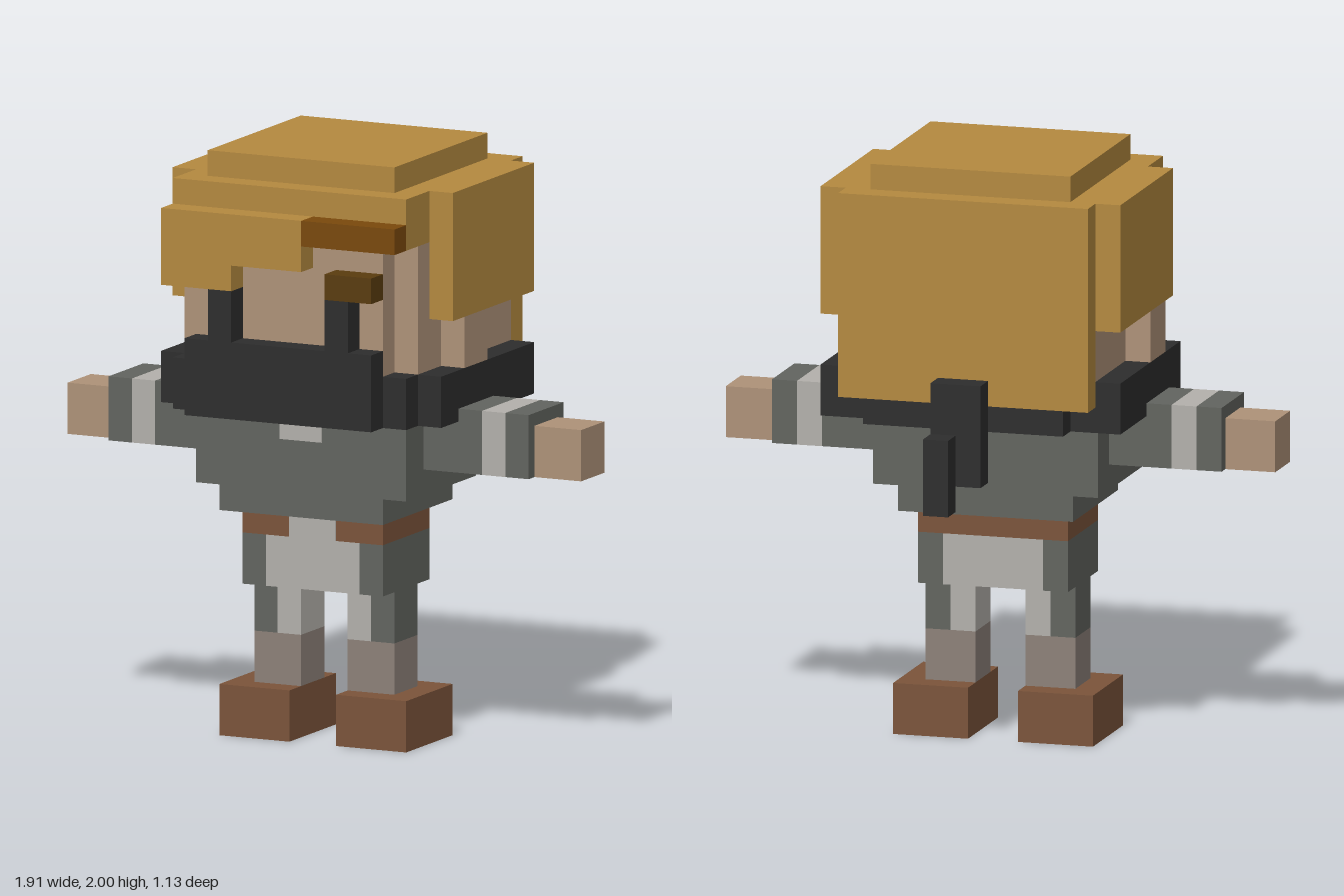
import * as THREE from 'three';

const U = 2 / 23; // one block unit

const COLORS = {
  hair: 0xb4893f, hairBand: 0x7a490c, brow: 0x5a3c0e, skin: 0xae9278, scarf: 0x2d2d2d,
  cloth: 0x62645f, paleCloth: 0xb3b0ab, sock: 0x8d8179, leather: 0x7b543a,
};

export function createModel() {
  const model = new THREE.Group();
  model.name = 'blockFigure';
  const mats = {};
  for (const [name, color] of Object.entries(COLORS)) {
    mats[name] = new THREE.MeshStandardMaterial({ color });
    mats[name].name = name;
  }

  // Box from min/max extents in block units
  const box = (name, mat, [x0, x1], [y0, y1], [z0, z1]) => {
    const geo = new THREE.BoxGeometry((x1 - x0) * U, (y1 - y0) * U, (z1 - z0) * U);
    const mesh = new THREE.Mesh(geo, mats[mat]);
    mesh.position.set((x0 + x1) / 2 * U, (y0 + y1) / 2 * U, (z0 + z1) / 2 * U);
    mesh.name = name;
    model.add(mesh);
  };
  // Same box on the left (+x) and right (-x)
  const pair = (name, mat, [x0, x1], y, z) => {
    box(name + 'Left', mat, [x0, x1], y, z);
    box(name + 'Right', mat, [-x1, -x0], y, z);
  };

  // Legs and shoes
  pair('shoe', 'leather', [1, 4], [0, 2], [-0.5, 3.5]);
  pair('sock', 'sock', [1, 3], [2, 4], [0.5, 2.5]);
  pair('innerLeg', 'paleCloth', [1, 2], [4, 6], [0.5, 2.5]);
  pair('outerLeg', 'cloth', [2, 3], [4, 6], [0.5, 2.5]);

  // Hips and belt
  box('hipCentre', 'paleCloth', [-2, 2], [6, 8], [-0.5, 3.5]);
  pair('hipSide', 'cloth', [2, 3], [6, 8], [-0.5, 3.5]);
  box('belt', 'leather', [-3, 3], [8, 9], [-0.5, 3.5]);
  box('beltGap', 'paleCloth', [-1, 1], [8, 9], [3.5, 3.54]);

  // Torso
  box('waist', 'cloth', [-3.5, 3.5], [9, 10], [-1.5, 4.5]);
  box('chest', 'cloth', [-4.5, 4.5], [10, 14], [-1.5, 4.5]);
  box('collar', 'paleCloth', [-0.9, 0.9], [12, 13], [4.5, 4.54]);

  // Arms
  pair('sleeve', 'cloth', [4.5, 7], [11, 13.5], [0, 3]);
  pair('sleeveStripe', 'paleCloth', [7, 8], [11, 13.5], [0, 3]);
  pair('cuff', 'cloth', [8, 9], [11, 13.5], [0, 3]);
  pair('hand', 'skin', [9, 11], [11, 13], [0.5, 2.5]);

  // Head
  box('head', 'skin', [-5, 5], [14, 20], [-3.5, 4.5]);
  box('face', 'skin', [-4, 4], [14, 20], [4.5, 5.5]);
  pair('ear', 'skin', [5, 6], [15, 17], [0.5, 2.5]);
  pair('eye', 'scarf', [2, 3], [16, 18], [5.5, 6.5]);
  box('brow', 'brow', [2, 4], [18, 19], [5.5, 6.5]);

  // Scarf ring and hanging tail
  box('scarfFront', 'scarf', [-4, 4], [13, 16], [5.5, 6.5]);
  pair('scarfFrontCorner', 'scarf', [4, 5], [13, 15], [4.5, 5.5]);
  pair('scarfSide', 'scarf', [5, 6], [13, 15], [-3.5, 4.5]);
  pair('scarfBackCorner', 'scarf', [4, 5], [13, 14], [-3.5, -2.5]);
  box('scarfBack', 'scarf', [-4, 4], [13, 14], [-4.5, -3.5]);
  box('scarfKnot', 'scarf', [-1, 1], [13, 15], [-5.5, -4.5]);
  box('scarfTail', 'scarf', [-1, 1], [11, 13], [-5.5, -4.5]);
  box('scarfTailEnd', 'scarf', [0, 1], [10, 13], [-6.5, -5.5]);

  // Hair
  box('hairCap', 'hair', [-5, 5], [20, 22], [-3.5, 5.5]);
  box('hairTop', 'hair', [-4, 4], [22, 23], [-3.5, 4.5]);
  box('hairBack', 'hair', [-5, 5], [14, 22], [-4.5, -3.5]);
  pair('hairSide', 'hair', [5, 6], [17, 22], [-3.5, 3.5]);
  box('fringeOuter', 'hair', [-5, -2], [18, 21], [5.5, 6.5]);
  box('fringeMiddle', 'hair', [-2, 1], [19, 21], [5.5, 6.5]);
  box('fringeBand', 'hairBand', [1, 5], [20, 21], [5.5, 6.5]);

  return model;
}
